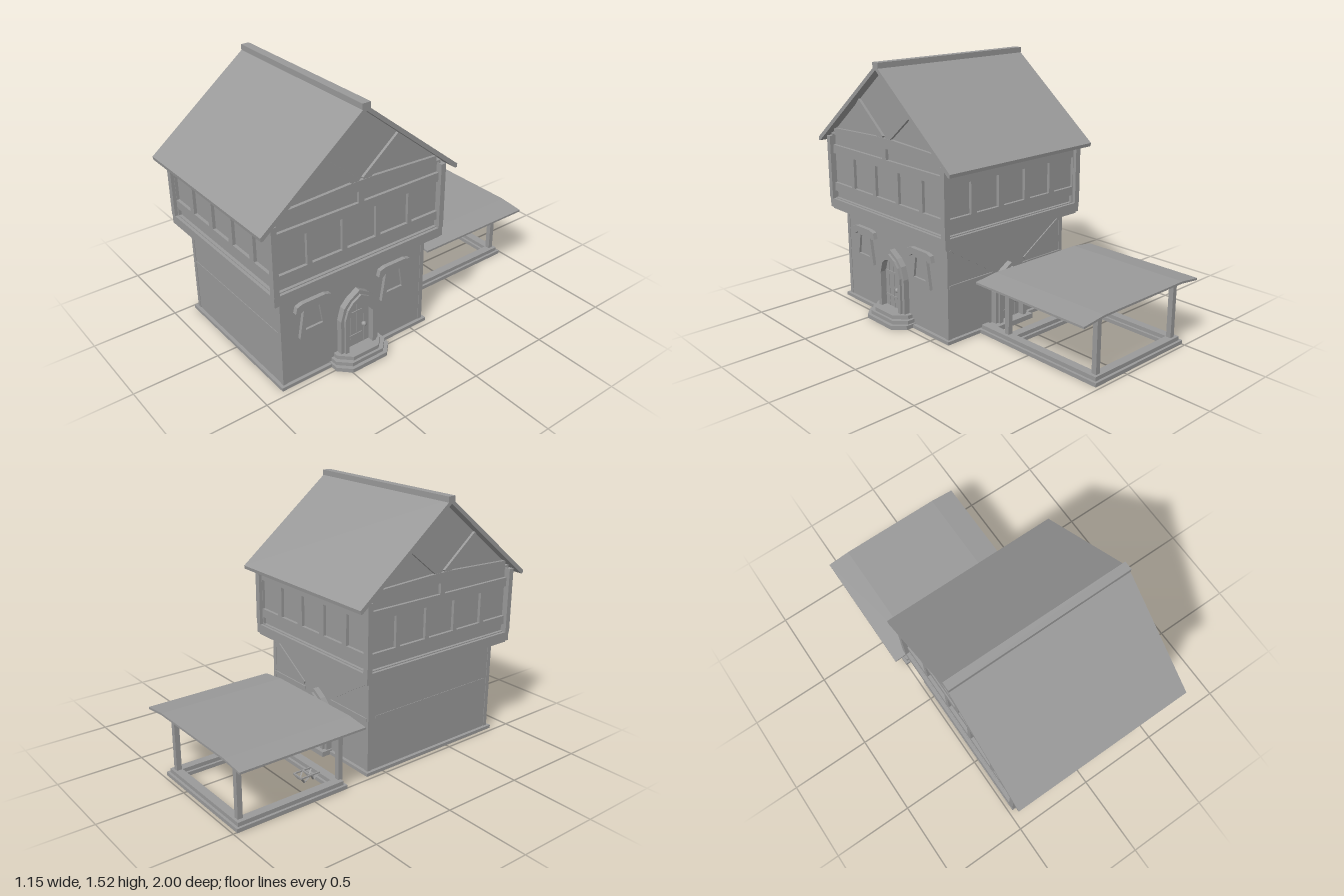
import * as THREE from 'three';

const mat = new THREE.MeshStandardMaterial({ color: 0x999999, flatShading: true, side: THREE.DoubleSide });

function add(parent, name, geo) {
  const m = new THREE.Mesh(geo, mat);
  m.name = name;
  parent.add(m);
  return m;
}
// box given by its limits
function box(parent, name, x0, x1, y0, y1, z0, z1) {
  const m = add(parent, name, new THREE.BoxGeometry(x1 - x0, y1 - y0, z1 - z0));
  m.position.set((x0 + x1) / 2, (y0 + y1) / 2, (z0 + z1) / 2);
  return m;
}
// square bar between two points
function bar(parent, name, a, b, w, d = w) {
  const p = new THREE.Vector3(...a), q = new THREE.Vector3(...b);
  const m = add(parent, name, new THREE.BoxGeometry(w, p.distanceTo(q), d));
  m.position.copy(p).lerp(q, 0.5);
  m.quaternion.setFromUnitVectors(new THREE.Vector3(0, 1, 0), q.sub(p).normalize());
  return m;
}
const outline = pts => pts.map(p => new THREE.Vector2(...p));
const rect = (x0, x1, y0, y1) => [[x0, y0], [x1, y0], [x1, y1], [x0, y1]];
const mirror = half => [...half, ...half.slice().reverse().filter(p => p[0] !== 0).map(([x, y]) => [-x, y])];
function plate(parent, name, pts, holes, depth) {
  const s = new THREE.Shape(outline(pts));
  holes.forEach(h => s.holes.push(new THREE.Path(outline(h))));
  return add(parent, name, new THREE.ExtrudeGeometry(s, { depth, bevelEnabled: false }));
}
// hollow rectangular wall ring, open above and below
function ring(parent, name, hx, hz, ix, iz, y0, y1) {
  const m = plate(parent, name, rect(-hx, hx, -hz, hz), [rect(-ix, ix, -iz, iz)], y1 - y0);
  m.rotation.x = -Math.PI / 2;
  m.position.y = y0;
}
// group whose local +z points out of one wall
function side(parent, name, angle, dist) {
  const g = new THREE.Group(), out = new THREE.Group();
  g.name = name;
  g.rotation.y = angle;
  out.position.z = dist;
  g.add(out);
  parent.add(g);
  return out;
}

// pointed arch doorway with plank door
function doorway(parent) {
  const g = new THREE.Group();
  g.name = 'doorway';
  const outer = mirror([[0.125, 0.06], [0.125, 0.28], [0.103, 0.355], [0.065, 0.395], [0, 0.435]]);
  const mid = mirror([[0.105, 0.06], [0.105, 0.285], [0.085, 0.345], [0.055, 0.38], [0, 0.412]]);
  const inner = mirror([[0.08, 0.06], [0.08, 0.28], [0.06, 0.345], [0.035, 0.365], [0, 0.378]]);
  plate(g, 'archOuter', outer, [inner], 0.036);
  plate(g, 'archTrim', mid, [inner], 0.05);
  plate(g, 'door', inner, [], 0.012);
  [-0.045, 0, 0.045].forEach(x => box(g, 'doorBatten', x - 0.002, x + 0.002, 0.06, 0.345, 0.012, 0.015));
  [0.13, 0.28].forEach(y => box(g, 'doorHinge', -0.075, 0.03, y, y + 0.012, 0.012, 0.017));
  add(g, 'doorKnob', new THREE.SphereGeometry(0.015, 10, 8)).position.set(0.04, 0.19, 0.022);
  parent.add(g);
  return g;
}

function windowUnit(parent, x) {
  const g = new THREE.Group();
  g.name = 'window';
  g.position.x = x;
  const pane = mirror([[0.055, 0.325], [0.036, 0.445]]);
  plate(g, 'windowFrame', mirror([[0.09, 0.28], [0.06, 0.46]]), [pane], 0.02);
  plate(g, 'windowPane', pane, [], 0.006);
  plate(g, 'windowLintel', mirror([[0.06, 0.46], [0.085, 0.443], [0.115, 0.45], [0.105, 0.487], [0.07, 0.498]]), [], 0.026);
  parent.add(g);
}

function groundFloor(house) {
  const hx = 0.45, hz = 0.478;
  ring(house, 'groundWalls', hx, hz, hx - 0.008, hz - 0.008, 0.005, 0.6);
  ring(house, 'plinth', hx + 0.02, hz + 0.02, hx - 0.004, hz - 0.004, 0, 0.02);
  for (const sx of [-1, 1]) for (const sz of [-1, 1]) {
    const x = sx * (hx - 0.01), z = sz * (hz - 0.01);
    box(house, 'groundCornerPost', x - 0.013, x + 0.013, 0.02, 0.58, z - 0.013, z + 0.013);
  }
  // plain walls with a thin middle rail
  const plain = [side(house, 'frontSide', 0, hz), side(house, 'streetSide', -Math.PI / 2, hx)];
  plain.forEach(s => box(s, 'wallRail', -0.43, 0.43, 0.33, 0.345, -0.002, 0.003));
  // entrance side
  const front = side(house, 'entranceSide', Math.PI / 2, hx);
  doorway(front);
  [-0.285, 0.255].forEach(x => windowUnit(front, x));
  [[0.18, 0.13, 0], [0.168, 0.11, 0.022], [0.15, 0.095, 0.045]].forEach(([w, d, y]) => {
    const s = plate(front, 'entranceStep', mirror([[w, 0], [w, -d + 0.065], [w - 0.065, -d]]), [], 0.024);
    s.rotation.x = -Math.PI / 2;
    s.position.y = y;
  });
  // garden side
  const back = side(house, 'gardenSide', Math.PI, hz);
  doorway(back).position.y = -0.058;
  for (const s of [-1, 1]) {
    box(back, 'gardenRail', s * 0.28 - 0.16, s * 0.28 + 0.16, 0.32, 0.34, 0, 0.007);
    bar(back, 'gardenBrace', [s * 0.43, 0.55, 0.001], [s * 0.13, 0.36, 0.001], 0.02, 0.012);
  }
}

function upperFloor(house) {
  const hx = 0.485, hz = 0.515, wallTop = 1.05;
  // jetty with a tapered underside
  ring(house, 'jettyUnderside', 0.508, 0.54, 0.44, 0.468, 0.572, 0.59);
  ring(house, 'jettyBeam', 0.52, 0.55, 0.44, 0.468, 0.585, 0.64);
  for (const sx of [-1, 1]) for (const sz of [-1, 1]) {
    const x = sx * 0.506, z = sz * 0.535;
    box(house, 'upperCornerPost', x - 0.018, x + 0.018, 0.64, 1.03, z - 0.016, z + 0.016);
  }
  // four plaster walls with timber grids, five panels each
  for (let i = 0; i < 4; i++) {
    const gable = i % 2 === 1;
    const w = gable ? 0.53 : hx, pitch = gable ? 0.2155 : 0.201, pw = gable ? 0.093 : 0.08;
    const s = side(house, gable ? 'gableWall' : 'eaveWall', i * Math.PI / 2, gable ? hx : hz);
    const core = gable ? mirror([[hz, 0.63], [hz, 1.072], [0, 1.488]]) : rect(-hx, hx, 0.63, 1.07);
    plate(s, 'plaster', core, [], 0.01).position.z = -0.01;
    const holes = [rect(-w + 0.01, w - 0.01, 0.645, 0.688)];
    for (let k = -2; k <= 2; k++) holes.push(rect(k * pitch - pw, k * pitch + pw, 0.74, 0.922));
    if (gable) holes.push(rect(-w + 0.01, -0.017, 0.975, 1.04), rect(0.017, w - 0.01, 0.975, 1.04));
    plate(s, 'timberGrid', rect(-w, w, 0.64, wallTop), holes, 0.018);
    if (!gable) {
      box(s, 'wallPlate', -w, w, 0.967, 0.985, 0.015, 0.028);
      continue;
    }
    for (const m of [-1, 1]) {
      plate(s, 'gableRail', [[m * 0.5, wallTop], [m * 0.5, 1.08], [m * 0.07, 1.098], [0, 1.098], [0, wallTop]], [], 0.018);
      bar(s, 'gableBrace', [m * 0.022, 1.092, 0.006], [m * 0.245, 1.274, 0.006], 0.04, 0.02);
    }
  }
}

function roof(house) {
  const slab = plate(house, 'gableRoof', [[0.615, 0.993], [0.618, 1.013], [0, 1.508],
    [-0.618, 1.013], [-0.615, 0.993], [-0.603, 0.993], [0, 1.48], [0.603, 0.993]], [], 1.08);
  slab.rotation.y = Math.PI / 2;
  slab.position.x = -0.54;
  box(house, 'ridgeCap', -0.54, 0.54, 1.49, 1.522, -0.025, 0.025);
}

function pavilion(root) {
  const g = new THREE.Group();
  g.name = 'pavilion';
  root.add(g);
  // low floor frame reaching back to the house
  [[0, 0.022, 0], [0.02, 0.045, 0.015]].forEach(([y0, y1, t]) => {
    box(g, 'frameRight', 0.145 + t, 0.225 - t, y0, y1, -0.98 + t, -0.11);
    box(g, 'frameLeft', -0.505 + t, -0.425 - t, y0, y1, -0.98 + t, -0.28 - t);
    box(g, 'frameBack', -0.505 + t, 0.225 - t, y0, y1, -0.98 + t, -0.9 - t);
    box(g, 'frameFront', -0.505 + t, 0.225 - t, y0, y1, -0.36 + t, -0.28 - t);
  });
  box(g, 'doorLanding', -0.14, 0.14, 0, 0.03, -0.17, -0.1);
  for (const x of [-0.45, 0.175]) for (const z of [-0.935, -0.297])
    box(g, 'pavilionPost', x - 0.015, x + 0.015, 0.04, 0.375, z - 0.015, z + 0.015);
  // shallow bent canopy
  const top = [[-0.58, 0.377], [-0.44, 0.394], [0.2, 0.394], [0.35, 0.377]];
  plate(g, 'canopy', [...top, ...top.slice().reverse().map(([x, y]) => [x, y - 0.012])], [], 0.78).position.z = -1;
  // small trestle stool
  const stool = new THREE.Group();
  stool.name = 'stool';
  stool.position.set(-0.35, 0, -0.44);
  g.add(stool);
  for (const x of [-0.035, 0.035]) {
    bar(stool, 'stoolRim', [x, 0.082, -0.063], [x, 0.082, 0.063], 0.008);
    for (const m of [-1, 1]) {
      bar(stool, 'stoolLeg', [x, 0.08, m * 0.058], [x * 0.6, 0.045, m * 0.03], 0.008);
      bar(stool, 'stoolLeg', [x, 0.08, m * 0.004], [x * 0.6, 0.045, m * 0.03], 0.008);
    }
  }
  for (const z of [-0.058, 0, 0.058]) bar(stool, 'stoolSlat', [-0.035, 0.082, z], [0.035, 0.082, z], 0.008);
}

export function createModel() {
  const root = new THREE.Group();
  root.name = 'timberHouse';
  const house = new THREE.Group();
  house.name = 'house';
  house.position.set(-0.005, 0, 0.382);
  root.add(house);
  groundFloor(house);
  upperFloor(house);
  roof(house);
  pavilion(root);
  return root;
}
